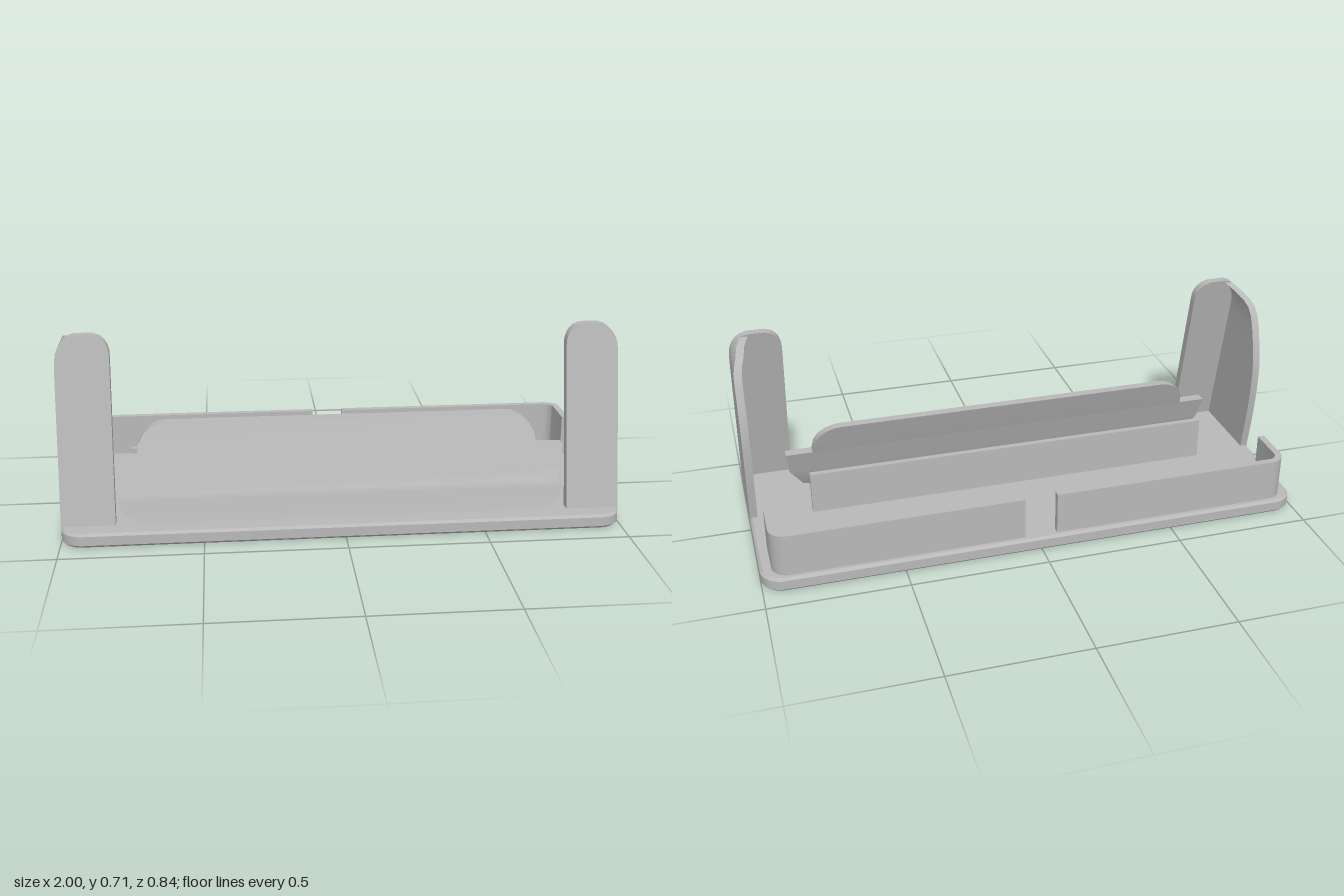
import * as THREE from 'three';
import { toCreasedNormals } from 'three/addons/utils/BufferGeometryUtils.js';

const grey = new THREE.MeshStandardMaterial({ color: 0xb8b8b8 });
grey.name = 'grey';

function part(name, geometry) {
  const mesh = new THREE.Mesh(geometry, grey);
  mesh.name = name;
  return mesh;
}

// Solid skin through rows of four corners, counterclockwise seen from the far end
function loft(rows, crease = 0.6) {
  const pos = [];
  const quad = (a, b, c, d) => pos.push(...a, ...b, ...c, ...a, ...c, ...d);
  for (let i = 0; i < rows.length - 1; i++) {
    const p = rows[i], q = rows[i + 1];
    for (let k = 0; k < 4; k++) {
      const n = (k + 1) % 4;
      quad(p[k], p[n], q[n], q[k]);
    }
  }
  const s = rows[0], e = rows[rows.length - 1];
  quad(s[3], s[2], s[1], s[0]);
  quad(e[0], e[1], e[2], e[3]);
  const g = new THREE.BufferGeometry();
  g.setAttribute('position', new THREE.Float32BufferAttribute(pos, 3));
  return toCreasedNormals(g, crease);
}

// Plan outline extruded upwards from height y
function upright(shape, y, height, bevel = 0) {
  const g = new THREE.ExtrudeGeometry(shape, {
    depth: height - 2 * bevel, bevelEnabled: bevel > 0, bevelSize: bevel,
    bevelThickness: bevel, bevelOffset: -bevel, bevelSegments: 1, curveSegments: 10,
  });
  g.rotateX(-Math.PI / 2);
  g.translate(0, y + bevel, 0);
  return toCreasedNormals(g, 0.5);
}

function roundedRect(w, d, r) {
  const s = new THREE.Shape();
  s.absarc(w - r, d - r, r, 0, Math.PI / 2);
  s.absarc(-w + r, d - r, r, Math.PI / 2, Math.PI);
  s.absarc(-w + r, -d + r, r, Math.PI, Math.PI * 1.5);
  s.absarc(w - r, -d + r, r, Math.PI * 1.5, Math.PI * 2);
  return s;
}

// L-shaped rear wall with a rounded corner
function rearWall() {
  const s = new THREE.Shape();
  s.moveTo(0.06, 0.375);
  s.lineTo(0.9, 0.375);
  s.absarc(0.9, 0.34, 0.035, Math.PI / 2, 0, true);
  s.lineTo(0.935, 0.205);
  s.lineTo(0.96, 0.205);
  s.lineTo(0.96, 0.34);
  s.absarc(0.9, 0.34, 0.06, 0, Math.PI / 2);
  s.lineTo(0.06, 0.4);
  return part('rearWall', upright(s, 0.05, 0.16));
}

// Corner post: leaning front plate and a side cheek curling in at the top
function post() {
  const group = new THREE.Group();
  // height, inner x, outer x, rear z of the cheek
  const rows = [
    [0.045, 0.81, 1, 0.002], [0.1, 0.81, 1, -0.008], [0.17, 0.81, 1, -0.02],
    [0.25, 0.81, 1, -0.031], [0.33, 0.81, 1, -0.038], [0.41, 0.81, 1, -0.04],
    [0.5, 0.81, 1, -0.026], [0.58, 0.81, 1, 0], [0.62, 0.81, 0.999, 0.018],
    [0.65, 0.811, 0.994, 0.036], [0.67, 0.817, 0.985, 0.06],
    [0.685, 0.826, 0.974, 0.13], [0.7, 0.842, 0.957, 0.178],
    [0.709, 0.868, 0.932, 0.18],
  ];
  const front = (y) => 0.35 - 0.212 * (y - 0.05);
  const ring = (y, x0, x1, zf, zb) => [[x0, y, zf], [x1, y, zf], [x1, y, zb], [x0, y, zb]];
  group.add(part('postFront', loft(rows.map(([y, a, b]) =>
    ring(y, a, b, front(y), front(y) - 0.035)))));
  group.add(part('postCheek', loft(rows.map(([y, , b, z]) =>
    ring(y, b - 0.028, b, front(y) - 0.005, z)))));
  return group;
}

// Curved tray: front lip, floor and leaning backrest with shoulders
function cradle() {
  // inner z, inner y, outer z, outer y, inner half width, outer half width
  const rows = [
    [0.29, 0.135, 0.32, 0.135, 0.8, 0.8],
    [0.288, 0.115, 0.33, 0.1, 0.79, 0.79],
    [0.283, 0.1, 0.337, 0.075, 0.785, 0.765],
    [0.27, 0.085, 0.345, 0.05, 0.78, 0.72],
    [0.25, 0.08, 0.25, 0.05, 0.79, 0.72],
    [0.22, 0.085, 0.19, 0.05, 0.8, 0.74],
    [0.205, 0.105, 0.165, 0.07, 0.81, 0.78],
    [0.185, 0.155, 0.142, 0.14, 0.83, 0.83],
    [0.15, 0.23, 0.11, 0.23, 0.84, 0.84],
    [0.15, 0.23, 0.11, 0.23, 0.74, 0.74],
    [0.13, 0.275, 0.092, 0.275, 0.733, 0.733],
    [0.117, 0.305, 0.081, 0.305, 0.717, 0.717],
    [0.107, 0.329, 0.072, 0.329, 0.69, 0.69],
    [0.101, 0.342, 0.067, 0.342, 0.66, 0.66],
    [0.1, 0.345, 0.066, 0.345, 0.635, 0.635],
  ];
  return part('cradle', loft(rows.map(([zi, yi, zo, yo, wi, wo]) =>
    [[-wi, yi, zi], [wi, yi, zi], [wo, yo, zo], [-wo, yo, zo]]), 0.7));
}

export function createModel() {
  const model = new THREE.Group();
  model.name = 'deskStand';

  model.add(part('base', upright(roundedRect(1, 0.42, 0.08), 0, 0.052, 0.009)));
  model.add(cradle());

  // Straight rib behind the cradle
  const rib = part('middleRib', new THREE.BoxGeometry(1.54, 0.16, 0.022));
  rib.position.set(0, 0.13, -0.011);
  model.add(rib);

  // Mirrored posts and rear walls
  for (const side of [1, -1]) {
    const half = new THREE.Group();
    half.name = side > 0 ? 'leftSide' : 'rightSide';
    const p = post();
    p.name = 'post';
    half.add(p, rearWall());
    half.scale.x = side;
    model.add(half);
  }
  return model;
}
